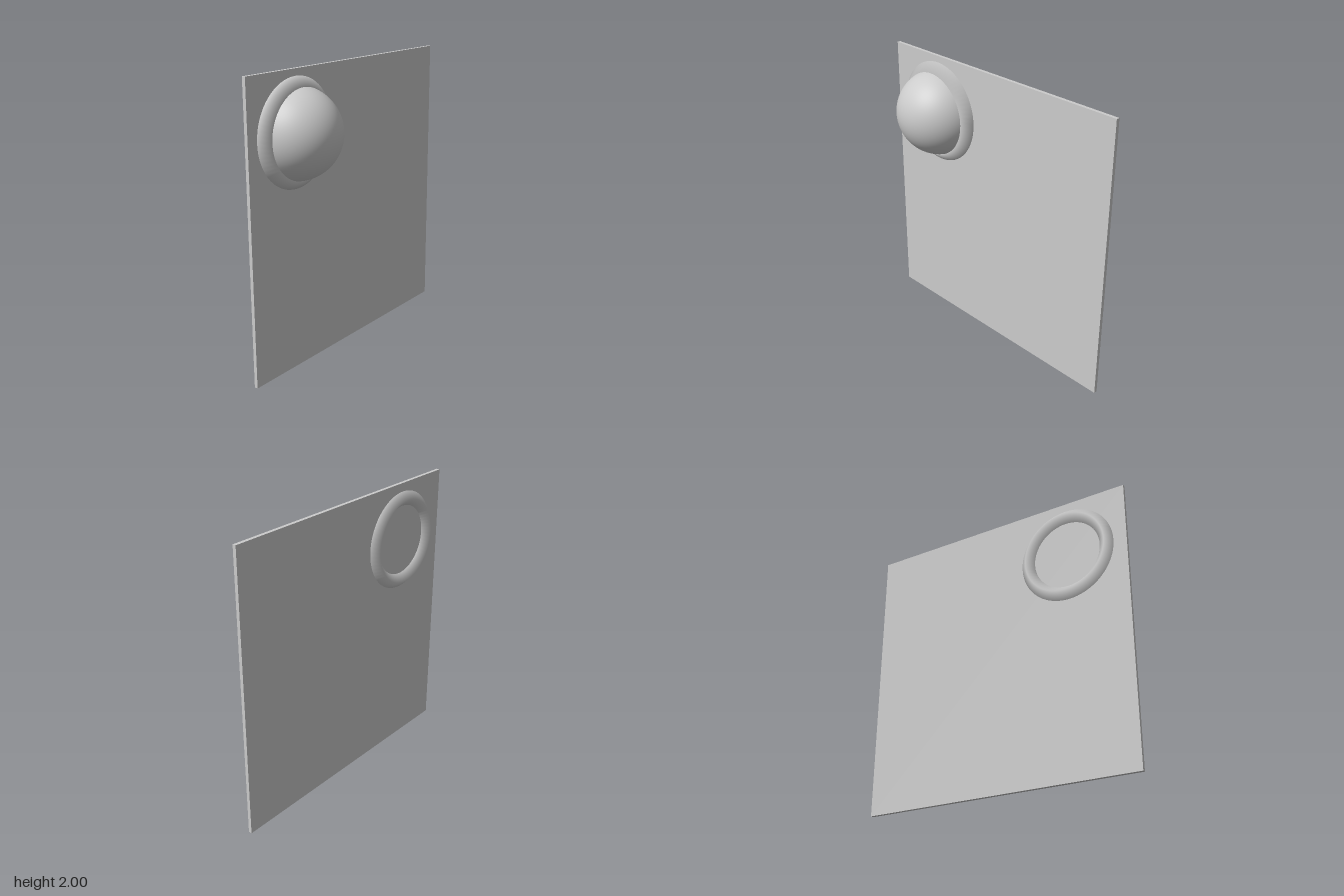
import * as THREE from 'three';

export function createModel() {
  const group = new THREE.Group();
  const material = new THREE.MeshStandardMaterial({ color: 0xcccccc });

  const add = (name, geometry, x, y, z) => {
    const mesh = new THREE.Mesh(geometry, material);
    mesh.name = name;
    mesh.position.set(x, y, z);
    group.add(mesh);
  };

  const [x, y, z] = [-0.119, 1.594, 0.56]; // centre of the round window

  // Thin square wall panel
  add('panel', new THREE.BoxGeometry(0.024, 2, 2), -0.126, 1, 0);

  // Ring with a diamond cross-section, set through the panel
  add('ring', new THREE.TorusGeometry(0.296, 0.069, 4, 64).rotateY(Math.PI / 2), x, y, z);

  // Half-sphere bulging towards +x
  const dome = new THREE.SphereGeometry(0.304, 64, 24, 0, Math.PI * 2, 0, Math.PI / 2);
  add('dome', dome.rotateZ(-Math.PI / 2), x, y, z);

  return group;
}
